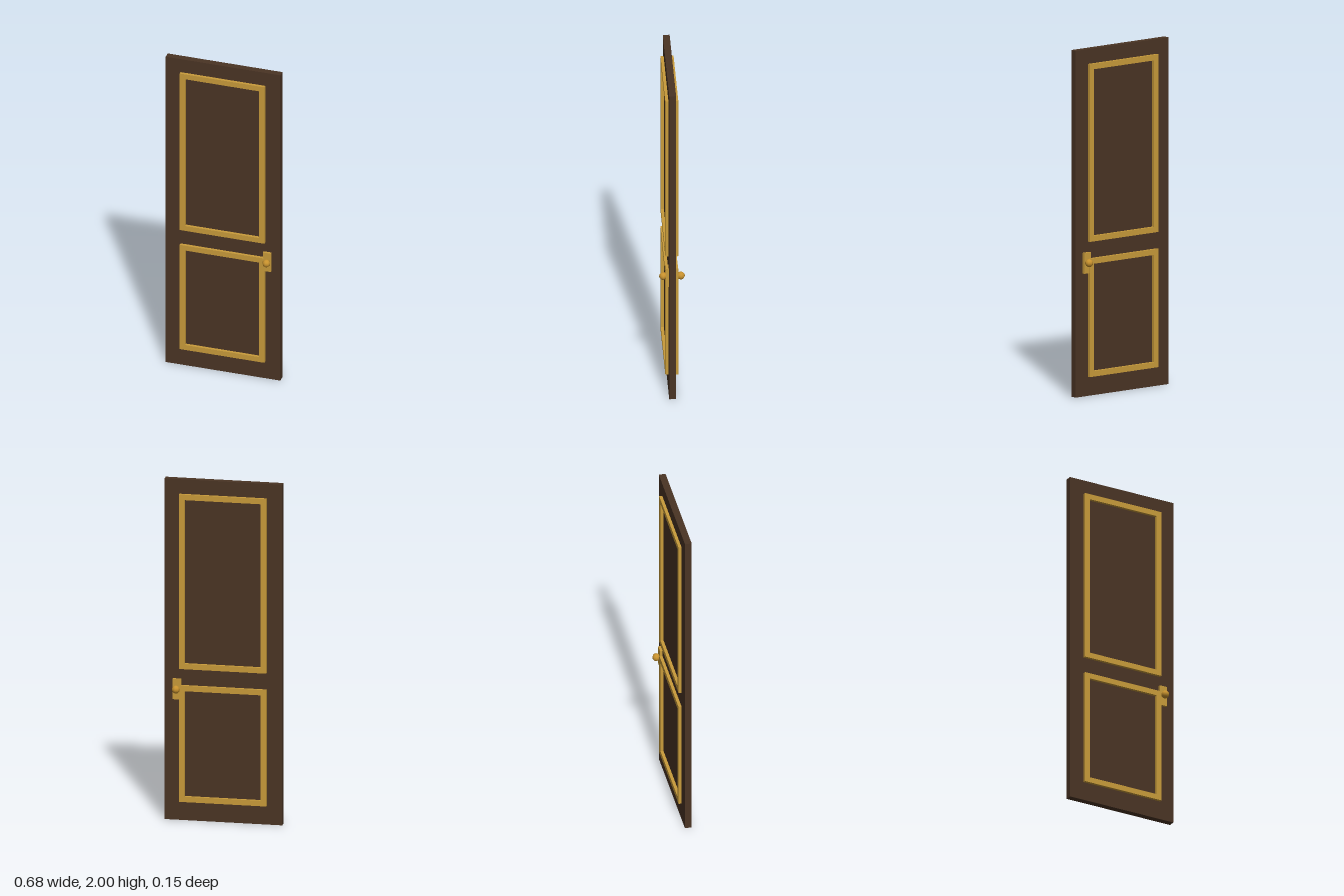
import * as THREE from 'three';

const mat = (name, color) => {
  const m = new THREE.MeshStandardMaterial({ color });
  m.name = name;
  return m;
};

export function createModel() {
  const wood = mat('dark wood', 0x4a3424);
  const gold = mat('gold trim', 0xc89b3a);
  const brass = mat('brass knob', 0xc8922e);
  const door = new THREE.Group();
  door.name = 'door';

  const add = (name, geometry, material, x, y, z) => {
    const mesh = new THREE.Mesh(geometry, material);
    mesh.name = name;
    mesh.position.set(x, y, z);
    door.add(mesh);
    return mesh;
  };

  // Rectangular outline, wound either way for outer edge and hole
  const rect = (path, w, y0, y1) => {
    path.moveTo(-w, y0);
    path.lineTo(w, y0);
    path.lineTo(w, y1);
    path.lineTo(-w, y1);
    path.closePath();
    return path;
  };

  // Moulding frame of constant width that stands proud of the slab
  const frame = (y0, y1, depth) => {
    const t = 0.032, w = 0.253;
    const shape = rect(new THREE.Shape(), w, y0, y1);
    shape.holes.push(rect(new THREE.Path(), w - t, y0 + t, y1 - t));
    return new THREE.ExtrudeGeometry(shape, { depth, bevelEnabled: false });
  };

  // Slab
  const mid = -0.0015;
  add('slab', new THREE.BoxGeometry(0.684, 2, 0.039), wood, 0, 1, mid);

  // Mouldings, lock plate and knob on both faces
  for (const [side, s] of [['front', 1], ['back', -1]]) {
    const z = s > 0 ? mid + 0.0185 : mid - 0.037;
    add(side + 'UpperMoulding', frame(0.89, 1.915, 0.0185), gold, 0, 0, z);
    add(side + 'LowerMoulding', frame(0.11, 0.793, 0.0185), gold, 0, 0, z);
    add(side + 'LockPlate', new THREE.BoxGeometry(0.047, 0.12, 0.018), gold, 0.267, 0.77, mid + s * 0.0255);
    add(side + 'Knob', new THREE.SphereGeometry(0.023, 8, 8), brass, 0.269, 0.772, mid + s * 0.0505);
  }
  return door;
}
